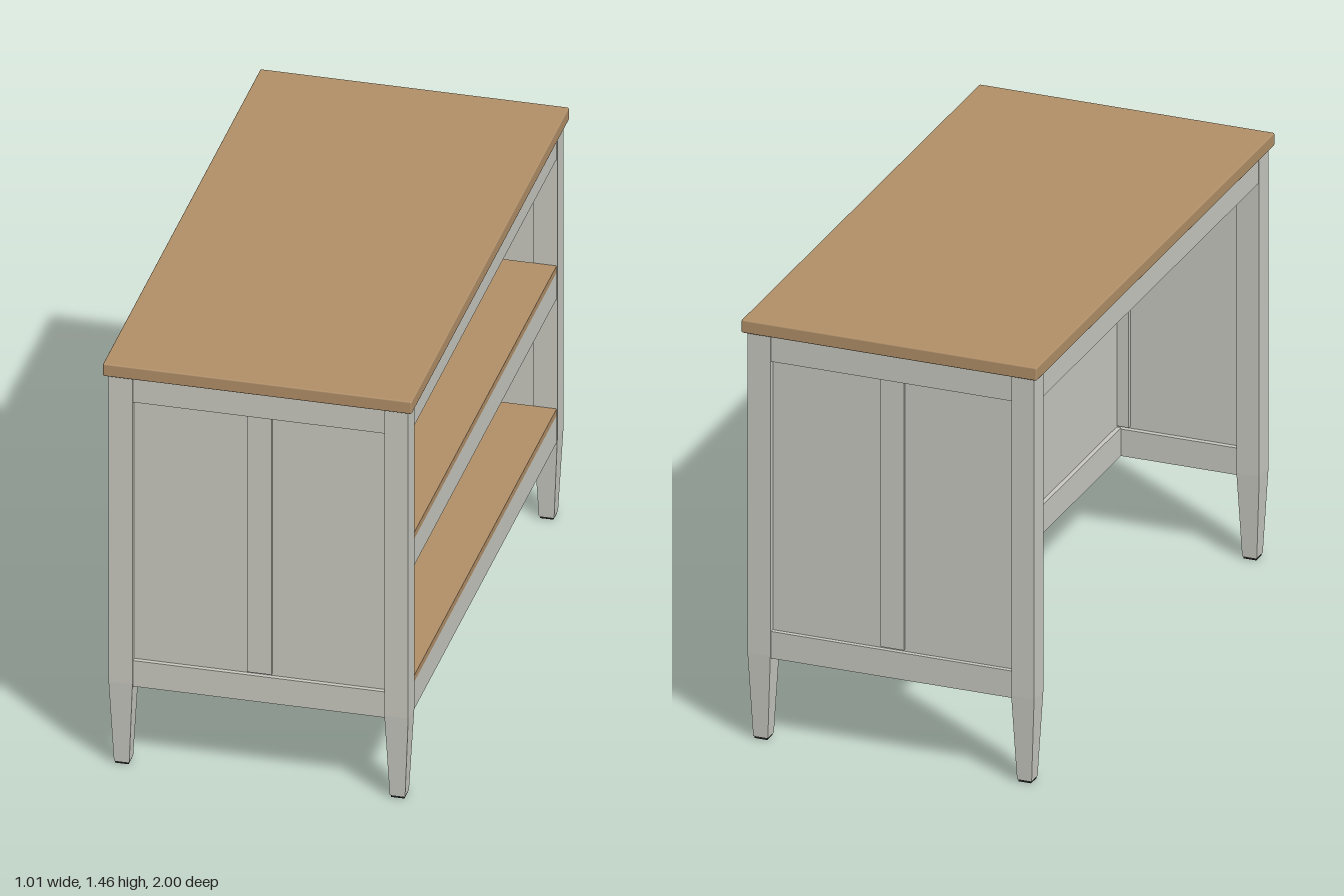
import * as THREE from 'three';
import { RoundedBoxGeometry } from 'three/addons/geometries/RoundedBoxGeometry.js';

const paint = new THREE.MeshStandardMaterial({ color: 0xc8c8c0, flatShading: true });
const wood = new THREE.MeshStandardMaterial({ color: 0xb08f68 });
const dark = new THREE.MeshStandardMaterial({ color: 0x222222, flatShading: true });

// Box given by its limits on each axis
function box(parent, name, [x0, x1], [y0, y1], [z0, z1], material = paint) {
  const mesh = new THREE.Mesh(new THREE.BoxGeometry(x1 - x0, y1 - y0, z1 - z0), material);
  mesh.position.set((x0 + x1) / 2, (y0 + y1) / 2, (z0 + z1) / 2);
  mesh.name = name;
  parent.add(mesh);
  return mesh;
}

// Square post that may taper, standing from y0 to y1
function post(parent, name, bottom, top, y0, y1, material) {
  const geo = new THREE.CylinderGeometry(top / Math.SQRT2, bottom / Math.SQRT2, y1 - y0, 4);
  geo.rotateY(Math.PI / 4);
  geo.translate(0, (y0 + y1) / 2, 0);
  const mesh = new THREE.Mesh(geo, material);
  mesh.name = name;
  parent.add(mesh);
}

function createLeg(x, z) {
  const leg = new THREE.Group();
  leg.name = 'leg';
  post(leg, 'legPost', 0.078, 0.078, 0.3, 1.41, paint);
  post(leg, 'legTaper', 0.05, 0.078, 0.008, 0.3, paint);
  post(leg, 'footPad', 0.044, 0.044, 0, 0.008, dark);
  leg.position.set(x, 0, z);
  return leg;
}

// Framed end with a thin recessed panel and a middle stile
function createEnd() {
  const end = new THREE.Group();
  end.name = 'endPanel';
  const span = [-0.414, 0.414], depth = [0.912, 0.978];
  box(end, 'endTopRail', span, [1.317, 1.41], depth);
  box(end, 'endBottomRail', span, [0.29, 0.383], depth);
  box(end, 'endInfill', span, [0.383, 1.317], [0.93, 0.962]);
  box(end, 'endStile', [-0.04, 0.04], [0.39, 1.317], [0.915, 0.972]);
  return end;
}

export function createModel() {
  const model = new THREE.Group();
  model.name = 'kitchenIsland';

  // Worktop
  const top = new THREE.Mesh(new RoundedBoxGeometry(1.01, 0.045, 2, 2, 0.005), wood);
  top.name = 'worktop';
  top.position.y = 1.4325;
  model.add(top);

  // Legs and framed ends
  for (const x of [-0.451, 0.451]) for (const z of [-0.945, 0.945]) model.add(createLeg(x, z));
  const end = createEnd();
  const backEnd = createEnd();
  backEnd.rotation.y = Math.PI;
  model.add(end, backEnd);

  // Shelf side rails
  const run = [-0.907, 0.907];
  for (const [y0, y1] of [[1.315, 1.41], [0.81, 0.905], [0.29, 0.388]]) {
    box(model, 'shelfRail', [0.455, 0.488], [y0, y1], run);
  }

  // Shelves reach from the rails back to the divider
  for (const y of [0.388, 0.905]) box(model, 'shelf', [0.03, 0.488], [y, y + 0.024], run, wood);

  // Apron over the open seating side
  box(model, 'seatingApron', [-0.488, -0.455], [1.315, 1.41], run);

  // Divider between the shelves and the seating side
  box(model, 'divider', [0, 0.04], [0.383, 1.41], [-0.935, 0.935]);
  box(model, 'dividerBottomRail', [-0.015, 0.045], [0.29, 0.388], [-0.912, 0.912]);

  // Screw caps on the divider
  const caps = [[-0.85, 1.273], [0, 1.273], [0.85, 1.273], [-0.85, 0.767], [0.85, 0.767]];
  for (const z of [-0.85, 0, 0.85]) caps.push([z, 0.34]);
  for (const [z, y] of caps) {
    const cap = new THREE.Mesh(new THREE.CylinderGeometry(0.008, 0.008, 0.004, 12), paint);
    cap.name = 'screwCap';
    cap.rotation.z = -Math.PI / 2;
    cap.position.set(y < 0.4 ? 0.046 : 0.041, y, z);
    model.add(cap);
  }
  return model;
}
